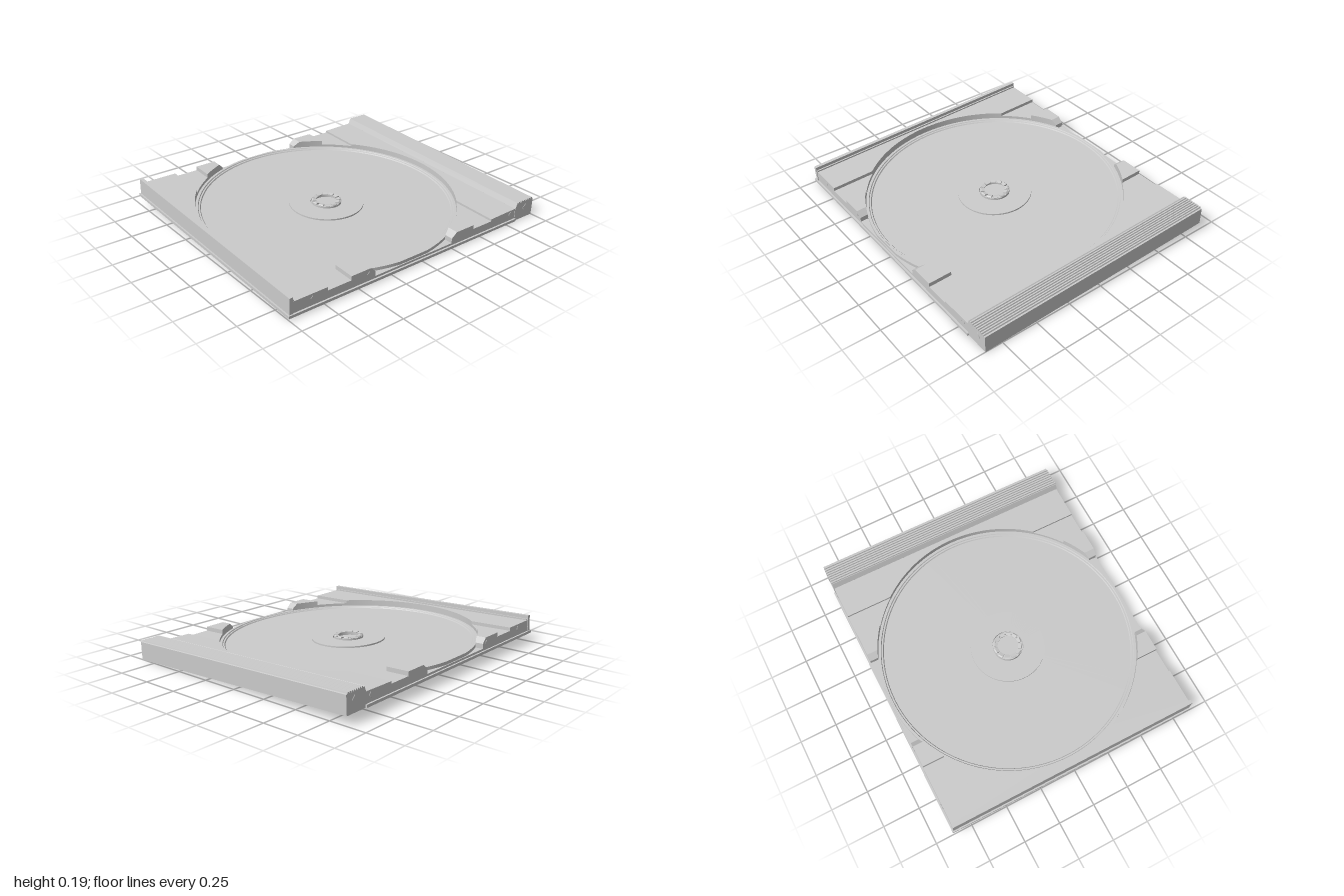
import * as THREE from 'three';
import { toCreasedNormals } from 'three/addons/utils/BufferGeometryUtils.js';

const CX = -0.065, R = 0.87, EDGE = 0.868; // disc centre, recess radius, side edge of the tray

export function createModel() {
  const model = new THREE.Group();
  const tray = new THREE.Group();
  tray.name = 'discTray';
  const mat = new THREE.MeshStandardMaterial({ color: 0xcccccc });

  const add = (name, geo, x = 0, y = 0, z = 0) => {
    const mesh = new THREE.Mesh(geo, mat);
    mesh.name = name;
    mesh.position.set(x, y, z);
    tray.add(mesh);
    return mesh;
  };
  const box = (name, x0, x1, y0, y1, z0, z1) =>
    add(name, new THREE.BoxGeometry(x1 - x0, y1 - y0, z1 - z0), (x0 + x1) / 2, (y0 + y1) / 2, (z0 + z1) / 2);

  // Base plate with a thin lip, and a low strip inside it
  box('basePlate', -1, 0.84, 0, 0.018, -0.88, 0.88);
  box('baseStrip', -0.98, 0.84, 0.01, 0.032, -EDGE, EDGE);

  // Thin wall along the left-hand edge
  box('sideWall', -0.99, -0.965, 0.01, 0.127, -0.872, 0.872);
  box('sideWallInnerLip', -0.965, -0.955, 0.02, 0.105, -0.866, 0.866);

  // Round recess: rim steps, floor, raised centre plate and hub pit
  const profile = [
    [0.869, 0.01], [0.869, 0.053], [0.852, 0.053], [0.848, 0.047], [0.838, 0.047], [0.833, 0.04],
    [0.25, 0.04], [0.25, 0.05], [0.105, 0.05], [0.105, 0.036], [0, 0.036],
  ].map(p => new THREE.Vector2(...p));
  const floor = new THREE.LatheGeometry(profile, 96);
  const fp = floor.attributes.position;
  for (let i = 0; i < fp.count; i++) fp.setZ(i, THREE.MathUtils.clamp(fp.getZ(i), -0.862, 0.862));
  add('discRecess', toCreasedNormals(floor, 0.4), CX);

  // Deck slab from x0 to x1, cut by the recess circle, with a top from h0 to h1
  const deck = (name, x0, x1, h0, h1, side) => {
    const angle = x => Math.acos(THREE.MathUtils.clamp((x - CX) / R, -1, 1));
    const a0 = angle(x0), a1 = angle(x1);
    const pts = [[x0, EDGE], [x1, EDGE]];
    if (x1 > CX + R) pts.push([x1, 0]);
    for (let i = 0; i <= 16; i++) {
      const a = a1 + (a0 - a1) * i / 16;
      pts.push([CX + R * Math.cos(a), R * Math.sin(a)]);
    }
    if (x0 < CX - R) pts.push([x0, 0]);
    const shape = new THREE.Shape(pts.map(([x, z]) => new THREE.Vector2(x, -side * z)));
    const geo = new THREE.ExtrudeGeometry(shape, { depth: 1, bevelEnabled: false });
    geo.rotateX(-Math.PI / 2);
    const p = geo.attributes.position;
    for (let i = 0; i < p.count; i++) {
      const top = h0 + (h1 - h0) * (p.getX(i) - x0) / (x1 - x0);
      p.setY(i, p.getY(i) > 0.5 ? top : 0.012);
    }
    add(name, toCreasedNormals(geo, 0.4));
  };
  const slabs = [
    ['leftDeck', -0.965, -0.725, 0.095, 0.095],
    ['leftStep', -0.725, -0.555, 0.072, 0.072],
    ['leftTab', -0.555, -0.41, 0.1, 0.1],
    ['leftTabSlope', -0.41, -0.375, 0.1, 0.065],
    ['rightTabSlope', 0.25, 0.29, 0.065, 0.098],
    ['rightTab', 0.29, 0.44, 0.098, 0.098],
    ['rightStep', 0.44, 0.605, 0.07, 0.07],
    ['rightDeck', 0.605, 0.835, 0.085, 0.09],
  ];
  for (const side of [-1, 1]) for (const s of slabs) deck(...s, side);

  // Hub: a ring of sprung teeth leaning inwards
  const ring = [[0.1, 0.036], [0.1, 0.058], [0.086, 0.058], [0.086, 0.036]].map(p => new THREE.Vector2(...p));
  add('hubRing', toCreasedNormals(new THREE.LatheGeometry(ring, 48), 0.4), CX);
  const teeth = 12;
  for (let i = 0; i < teeth; i++) {
    const shape = new THREE.Shape([
      new THREE.Vector2(0.097, 0.04), new THREE.Vector2(0.097, 0.062), new THREE.Vector2(0.09, 0.068),
      new THREE.Vector2(0.068, 0.064), new THREE.Vector2(0.068, 0.058), new THREE.Vector2(0.085, 0.055),
    ]);
    const geo = new THREE.ExtrudeGeometry(shape, { depth: 0.032, bevelEnabled: false });
    geo.translate(0, 0, -0.016);
    add('hubTooth', geo, CX).rotation.y = (i / teeth) * Math.PI * 2;
  }

  // Spine along the right-hand edge, ribbed on top
  const ribs = 8, left = 0.853, width = 0.137;
  const spine = [[0.832, 0], [1, 0], [1, 0.12], [0.99, 0.122]];
  for (let i = ribs - 1; i >= 0; i--) {
    const x = left + width * i / ribs, w = width / ribs;
    spine.push([x + w * 0.85, 0.131], [x + w * 0.35, 0.131], [x + w * 0.2, 0.122], [x, 0.122]);
  }
  spine.push([0.848, 0.128], [0.832, 0.09]);
  const spineGeo = new THREE.ExtrudeGeometry(
    new THREE.Shape(spine.map(p => new THREE.Vector2(...p))), { depth: 1.742, bevelEnabled: false });
  add('spine', spineGeo, 0, 0, -0.871);

  // Small diamond pips on both side faces
  for (const side of [-1, 1]) {
    for (const [x, y, r] of [[-0.83, 0.065, 0.017], [-0.42, 0.065, 0.017], [0.79, 0.062, 0.017], [0.93, 0.075, 0.026]]) {
      const pip = new THREE.CylinderGeometry(r, r, 0.006, 4);
      pip.rotateX(Math.PI / 2);
      add('sidePip', pip, x, y, side * (x > 0.83 ? 0.871 : EDGE));
    }
  }

  // The whole tray rests slightly tilted, back edge raised
  tray.rotation.set(0.033, 0, -0.004);
  tray.position.y = 0.032;
  model.add(tray);
  return model;
}
